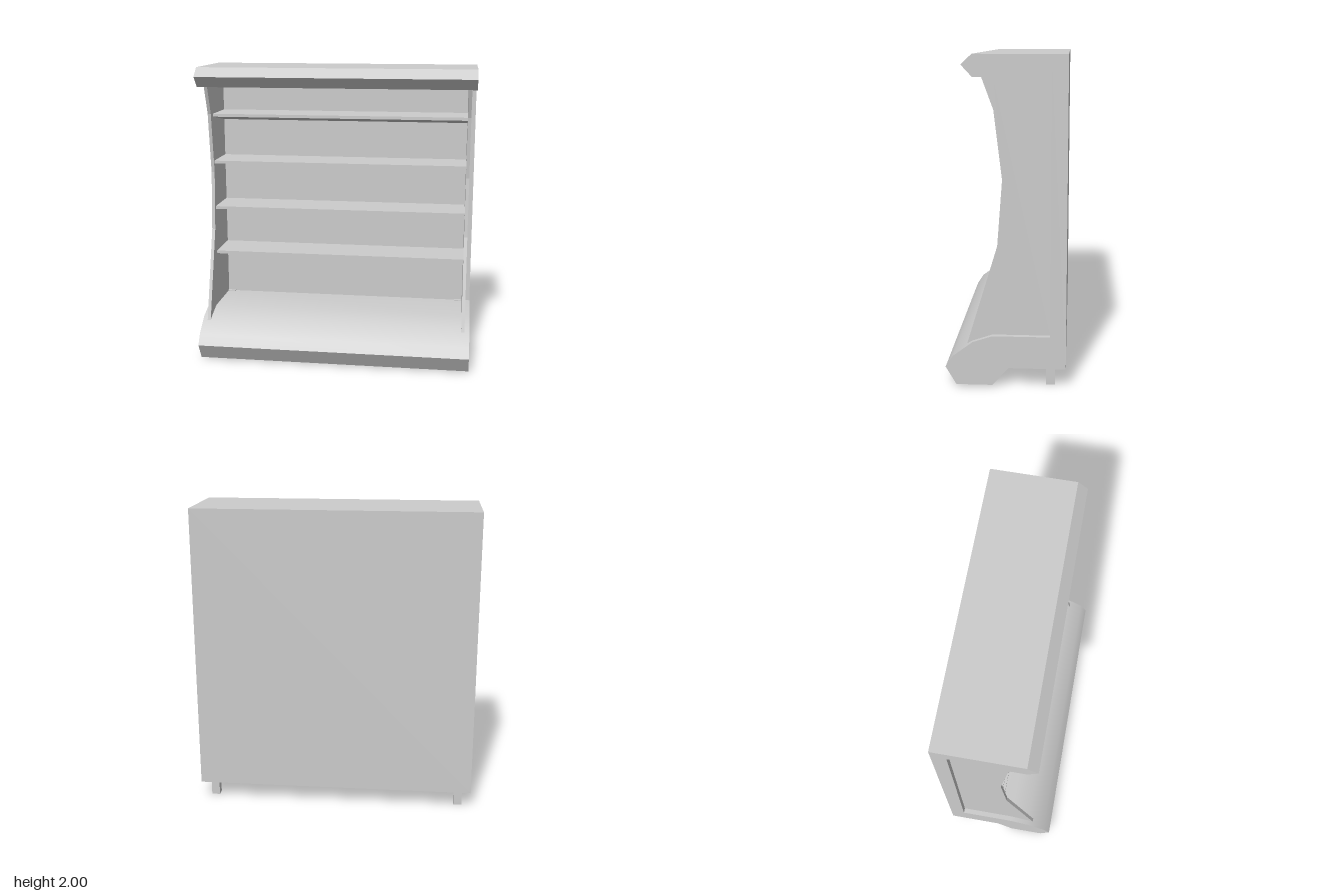
import * as THREE from 'three';
import { toCreasedNormals } from 'three/addons/utils/BufferGeometryUtils.js';

const W = 0.92; // half width of the cabinet
const PANEL_IN = 0.865, PANEL_OUT = 0.887;
const BACK = -0.27; // inner face of the back wall

const grey = new THREE.MeshStandardMaterial({ color: 0xcccccc });
const greyShell = new THREE.MeshStandardMaterial({ color: 0xcccccc, side: THREE.DoubleSide });

// C-shaped cabinet profile as [z, y]; open between its two ends, under the base
const BODY = [
  [0.08, 0.01], [-0.02, 0.12], [-0.365, 0.12], [-0.365, 2],
  [0.19, 2], [0.255, 1.94], [0.19, 1.87], [0.07, 1.87], [0, 1.905], [BACK, 1.905],
  [BACK, 0.32], [0.08, 0.32], [0.2, 0.28], [0.32, 0.19], [0.365, 0.12], [0.3, 0.01],
];

// Side panel outline as [z, y], with the waisted front edge
const PANEL = [
  [BACK, 0.32], [0.08, 0.32], [0.2, 0.28], [0.235, 0.26],
  [0.05, 0.87], [0.02, 1.27], [0.07, 1.68], [0.14, 1.87],
  [0.07, 1.87], [0, 1.905], [BACK, 1.905],
];

function add(group, name, geometry, material = grey) {
  const mesh = new THREE.Mesh(geometry, material);
  mesh.name = name;
  group.add(mesh);
  return mesh;
}

function shapeOf(points, flip = 1) {
  return new THREE.Shape(points.map(([z, y]) => new THREE.Vector2(flip * z, y)));
}

// Sweep an open profile straight across the width
function sweep(points, halfWidth) {
  const pos = [];
  for (let i = 0; i < points.length - 1; i++) {
    const [pz, py] = points[i], [qz, qy] = points[i + 1];
    const a = [-halfWidth, py, pz], b = [-halfWidth, qy, qz];
    const c = [halfWidth, qy, qz], d = [halfWidth, py, pz];
    pos.push(...a, ...b, ...c, ...a, ...c, ...d);
  }
  const g = new THREE.BufferGeometry();
  g.setAttribute('position', new THREE.Float32BufferAttribute(pos, 3));
  g.computeVertexNormals();
  return toCreasedNormals(g, 0.6);
}

// Solid with a [z, y] outline, running from x0 to x1
function slab(points, x0, x1) {
  const g = new THREE.ExtrudeGeometry(shapeOf(points), { depth: x1 - x0, bevelEnabled: false });
  return g.rotateY(-Math.PI / 2).translate(x1, 0, 0);
}

export function createModel() {
  const model = new THREE.Group();
  model.name = 'displayCabinet';

  // Outer shell: back, canopy, tray and rounded base front
  add(model, 'cabinetShell', sweep(BODY, W), greyShell);

  for (const [side, s] of [['left', 1], ['right', -1]]) {
    // End face of the shell
    const cap = new THREE.ShapeGeometry(shapeOf(BODY, -s));
    cap.rotateY(s * Math.PI / 2).translate(s * W, 0, 0);
    add(model, side + 'EndFace', cap, greyShell);

    // Recessed side panel
    const [x0, x1] = s > 0 ? [PANEL_IN, PANEL_OUT] : [-PANEL_OUT, -PANEL_IN];
    add(model, side + 'SidePanel', slab(PANEL, x0, x1));

    // Rear foot, running up through the floor of the tray
    const foot = add(model, side + 'RearFoot', new THREE.BoxGeometry(0.055, 0.325, 0.055));
    foot.position.set(s * 0.838, 0.1625, -0.272);
  }

  // Shelves: flat on top, thicker towards the back
  [0.705, 1.027, 1.35, 1.675].forEach((top, i) => {
    const outline = [[BACK, top - 0.07], [0.02, top - 0.02], [0.02, top], [BACK, top]];
    add(model, 'shelf' + (i + 1), slab(outline, -PANEL_IN, PANEL_IN));
  });

  return model;
}
